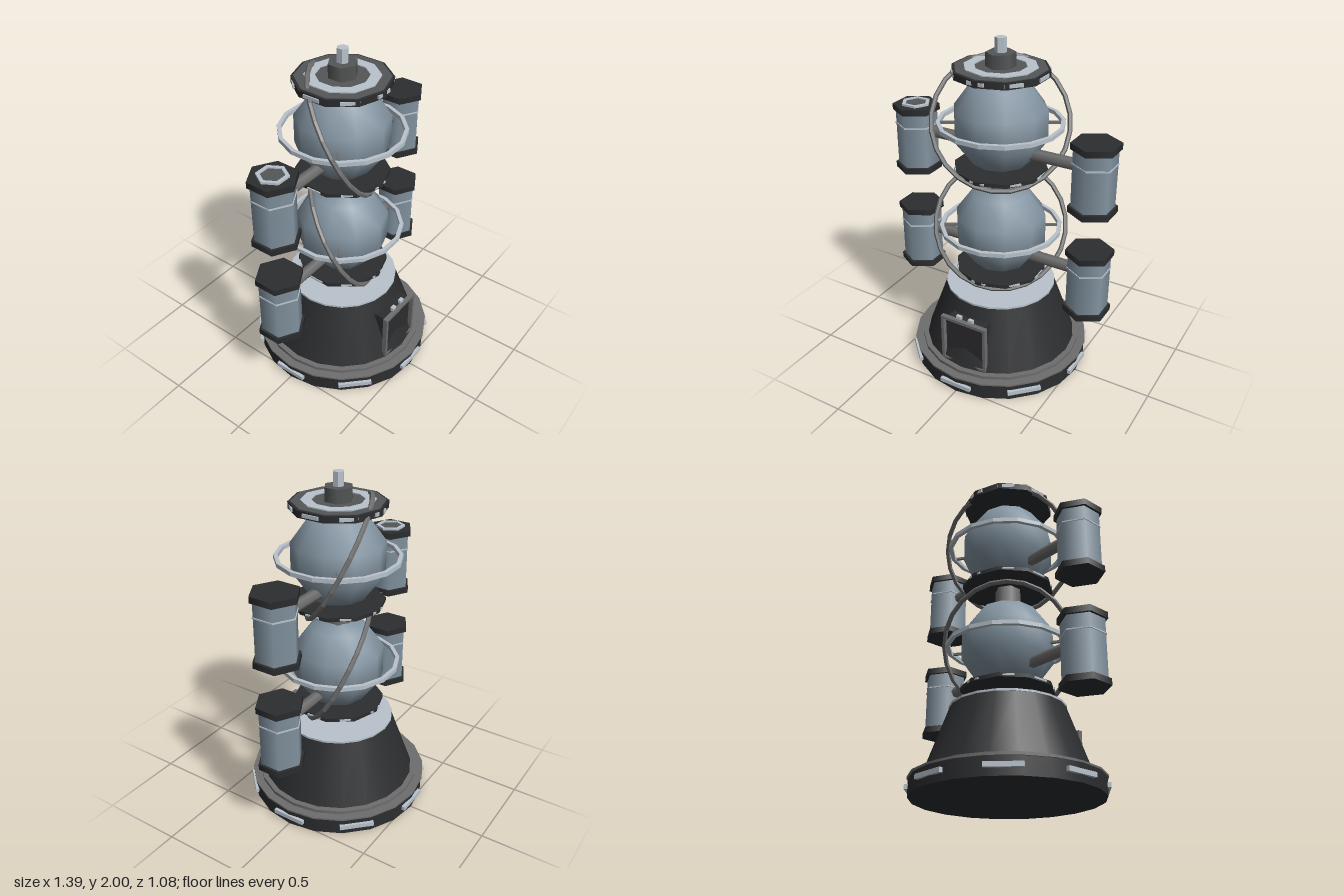
import * as THREE from 'three';

const mat = (color, flatShading = false) => new THREE.MeshStandardMaterial({ color, flatShading });
const DARK = mat(0x2c2d2f), GREY = mat(0x6e6e6e), STEEL = mat(0x555657);
const BLUE = mat(0x8394a1), LIGHT = mat(0xb9c3cc, true), TRIM = mat(0x707070, true);

function add(parent, name, geometry, material, x = 0, y = 0, z = 0) {
  const m = new THREE.Mesh(geometry, material);
  m.name = name;
  m.position.set(x, y, z);
  parent.add(m);
  return m;
}

// Upright prism or cone between two heights
function drum(parent, name, material, y0, y1, rBottom, sides, rTop = rBottom) {
  return add(parent, name, new THREE.CylinderGeometry(rTop, rBottom, y1 - y0, sides), material, 0, (y0 + y1) / 2, 0);
}

// Flat ring with a rectangular section
function band(parent, name, material, y0, y1, rIn, rOut, sides, turn = 0) {
  const pts = [[rOut, y0], [rOut, y1], [rIn, y1], [rIn, y0], [rOut, y0]].map(p => new THREE.Vector2(...p));
  return add(parent, name, new THREE.LatheGeometry(pts, sides, turn), material);
}

// Eight light strips set around a rim
function lightStrips(parent, y, r, w, h) {
  for (let i = 0; i < 8; i++) {
    const a = i * Math.PI / 4;
    const strip = add(parent, 'lightStrip', new THREE.BoxGeometry(w, h, 0.02), LIGHT, r * Math.sin(a), y, r * Math.cos(a));
    strip.rotation.y = a;
  }
}

function createBase() {
  const g = new THREE.Group();
  g.name = 'base';
  drum(g, 'footDrum', DARK, 0, 0.1, 0.53, 20);
  drum(g, 'footRim', GREY, 0.098, 0.108, 0.538, 20);
  drum(g, 'footStep', GREY, 0.106, 0.128, 0.49, 20);
  drum(g, 'pedestal', DARK, 0.125, 0.498, 0.46, 20, 0.325);
  drum(g, 'pedestalTop', LIGHT, 0.495, 0.507, 0.33, 20);
  lightStrips(g, 0.053, 0.53, 0.2, 0.026);

  // Doorway with its frame and lamps
  add(g, 'doorBlock', new THREE.BoxGeometry(0.25, 0.29, 0.14), DARK, 0, 0.27, 0.348);
  for (const s of [-1, 1]) {
    add(g, 'doorPost', new THREE.BoxGeometry(0.018, 0.3, 0.028), GREY, s * 0.141, 0.285, 0.426);
    add(g, 'doorLamp', new THREE.BoxGeometry(0.032, 0.024, 0.02), LIGHT, s * 0.04, 0.443, 0.41);
  }
  add(g, 'doorLintel', new THREE.BoxGeometry(0.3, 0.018, 0.028), GREY, 0, 0.427, 0.426);
  add(g, 'doorSill', new THREE.BoxGeometry(0.3, 0.014, 0.028), GREY, 0, 0.14, 0.426);
  return g;
}

// Hexagonal side tank, measured from its underside
function createTank(withHatch) {
  const g = new THREE.Group();
  g.name = 'tank';
  drum(g, 'tankBody', BLUE, 0.02, 0.39, 0.122, 6);
  drum(g, 'tankCap', DARK, 0, 0.036, 0.138, 6);
  drum(g, 'tankCap', DARK, 0.37, 0.406, 0.138, 6);
  band(g, 'tankTrim', LIGHT, 0.282, 0.29, 0.118, 0.127, 6);
  if (withHatch) {
    band(g, 'hatchRing', LIGHT, 0.4, 0.418, 0.066, 0.088, 6, Math.PI / 6);
    drum(g, 'hatchCover', STEEL, 0.4, 0.411, 0.07, 6).rotation.y = Math.PI / 6;
  }
  return g;
}

// One storey: sphere, rings, lower disc, two arms with tanks
function createStage(hatched) {
  const g = new THREE.Group();
  g.name = 'stage';
  add(g, 'sphere', new THREE.SphereGeometry(0.28, 10, 5), BLUE).rotation.y = Math.PI / 2;
  band(g, 'equatorRing', LIGHT, -0.012, 0.012, 0.337, 0.36, 16, Math.PI / 16);

  // Tilted orbit ring
  const orbit = add(g, 'orbitRing', new THREE.TorusGeometry(0.385, 0.014, 6, 24), TRIM);
  orbit.quaternion.setFromUnitVectors(new THREE.Vector3(0, 0, 1), new THREE.Vector3(0.47, 0.47, 0.75).normalize());

  drum(g, 'lowerDisc', DARK, -0.277, -0.255, 0.27, 10);
  lightStrips(g, -0.266, 0.253, 0.09, 0.011);

  for (const s of [-1, 1]) {
    const a = Math.PI / 6;
    const spoke = add(g, 'ringSpoke', new THREE.BoxGeometry(0.12, 0.014, 0.014), TRIM, s * 0.29 * Math.cos(a), 0, -s * 0.29 * Math.sin(a));
    spoke.rotation.y = a;
    const arm = add(g, 'arm', new THREE.CylinderGeometry(0.034, 0.034, 0.43, 6), GREY, s * 0.265, -0.147, 0);
    arm.rotation.z = Math.PI / 2;
    const tank = createTank(hatched && s < 0);
    tank.position.set(s * 0.575, -0.403, 0);
    g.add(tank);
  }
  return g;
}

function createTop() {
  const g = new THREE.Group();
  g.name = 'topCap';
  drum(g, 'capDisc', DARK, 1.8, 1.838, 0.272, 10);
  drum(g, 'capPlate', STEEL, 1.83, 1.842, 0.258, 10);
  band(g, 'capRing', LIGHT, 1.835, 1.848, 0.145, 0.205, 10);
  lightStrips(g, 1.819, 0.256, 0.1, 0.02);
  drum(g, 'collar', STEEL, 1.84, 1.92, 0.083, 6);
  drum(g, 'mast', LIGHT, 1.91, 2.0, 0.033, 6);
  return g;
}

export function createModel() {
  const model = new THREE.Group();
  model.name = 'tower';
  model.add(createBase(), createTop());
  drum(model, 'column', GREY, 0.5, 1.81, 0.077, 6);
  [0.875, 1.522].forEach((y, i) => {
    const stage = createStage(i === 1);
    stage.position.y = y;
    model.add(stage);
  });
  return model;
}
